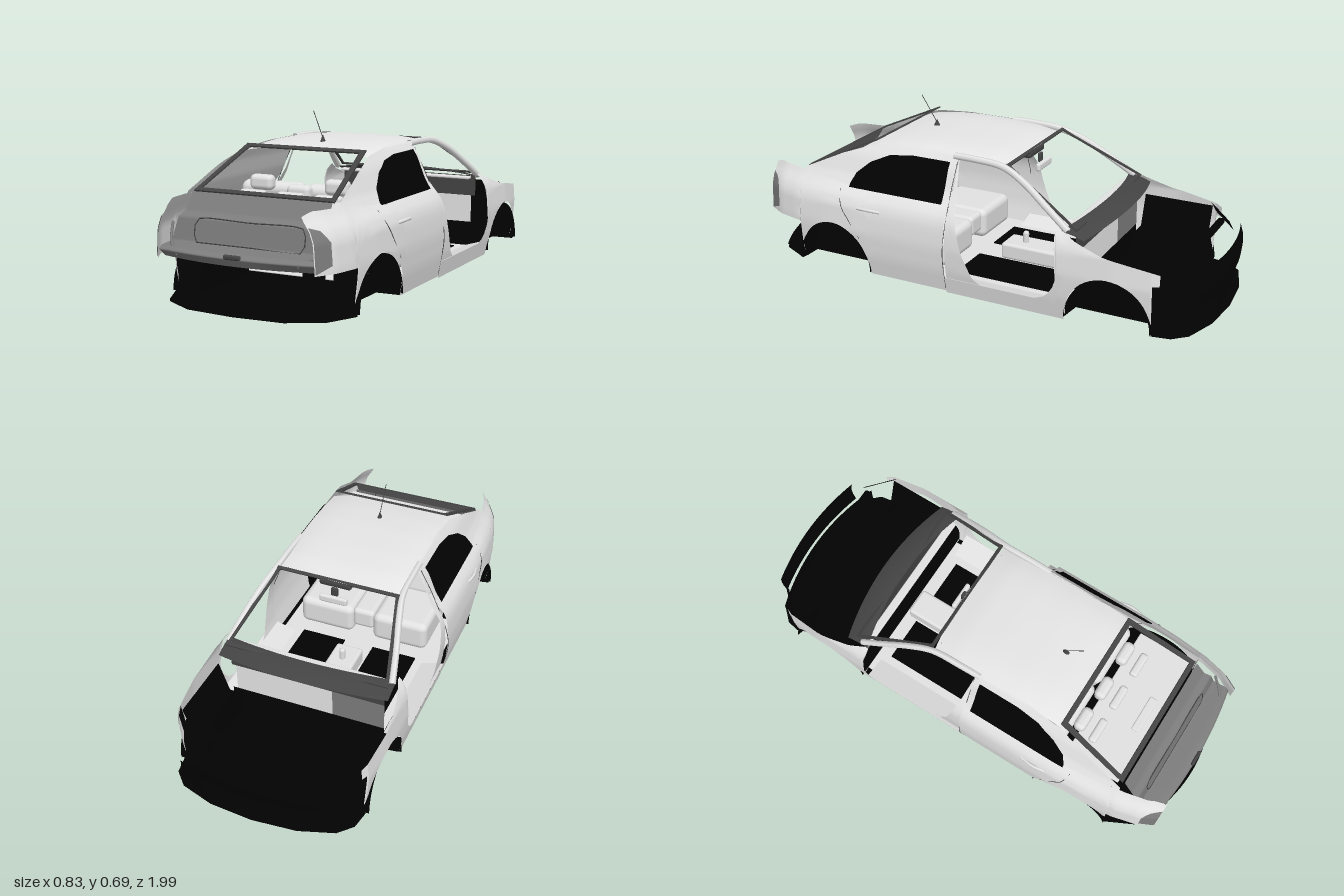
import * as THREE from 'three';
import { RoundedBoxGeometry } from 'three/addons/geometries/RoundedBoxGeometry.js';

const mat = (name, color) => new THREE.MeshStandardMaterial({ name, color, side: THREE.DoubleSide });

// Linear interpolation through [key, value] pairs sorted by key
function along(pts, t) {
  if (t <= pts[0][0]) return pts[0][1];
  for (let i = 1; i < pts.length; i++) {
    const [a, p] = pts[i - 1], [b, q] = pts[i];
    if (t <= b) return p + (q - p) * (t - a) / (b - a);
  }
  return pts[pts.length - 1][1];
}

// Grid surface from a rule (u, v in 0..1) -> [x, y, z]
function patch(nu, nv, rule) {
  const pos = [], idx = [];
  for (let i = 0; i <= nu; i++) for (let j = 0; j <= nv; j++) pos.push(...rule(i / nu, j / nv));
  for (let i = 0; i < nu; i++) for (let j = 0; j < nv; j++) {
    const a = i * (nv + 1) + j, b = a + nv + 1;
    idx.push(a, a + 1, b, b, a + 1, b + 1);
  }
  const g = new THREE.BufferGeometry();
  g.setAttribute('position', new THREE.Float32BufferAttribute(pos, 3));
  g.setIndex(idx);
  g.computeVertexNormals();
  return g;
}

// Half width of the body at a height, narrowed towards both ends
const SECTION = [[0, 0.385], [0.1, 0.405], [0.2, 0.413], [0.3, 0.405], [0.34, 0.388], [0.38, 0.355], [0.42, 0.332], [0.5, 0.3], [0.55, 0.268], [0.57, 0.25]];
const PLAN = [[-0.92, 0.82], [-0.8, 0.96], [-0.65, 1], [0.5, 1], [0.65, 0.985], [0.8, 0.95], [0.9, 0.89], [0.97, 0.79]];
const halfWidth = (z, y) => along(SECTION, y) * along(PLAN, z);

// Body side strip between a lower and an upper edge
function sidePanel(zs, low, high, offset = 0, rows = 12) {
  const n = zs.length - 1;
  return patch(n, rows, (u, v) => {
    const z = zs[Math.round(u * n)], y = low(z) + (high(z) - low(z)) * v;
    return [halfWidth(z, y) + offset, y, z];
  });
}
const range = (a, b, n) => Array.from({ length: n + 1 }, (_, i) => a + (b - a) * i / n);

const REAR_WHEEL = 0.605, FRONT_WHEEL = -0.63, ARCH = 0.172;
const archZs = (c) => range(Math.PI, 0, 24).map((t) => c + ARCH * Math.cos(t));
const archY = (z, c) => 0.035 + Math.sqrt(Math.max(0, ARCH * ARCH - (z - c) ** 2)) * 1.05;

export function createModel() {
  const car = new THREE.Group();
  const paint = mat('light body', 0xe6e6e6), cabin = mat('light cabin', 0xe2e2e2), grey = mat('grey panel', 0x7c7c7c);
  const trim = mat('dark trim', 0x444444), black = mat('black', 0x020202);

  const add = (name, geo, material, x = 0, y = 0, z = 0) => {
    const m = new THREE.Mesh(geo, material);
    m.name = name;
    m.position.set(x, y, z);
    car.add(m);
    return m;
  };
  const both = (name, geo, material) => {
    add(name + 'Left', geo, material);
    add(name + 'Right', geo, material).scale.x = -1;
  };
  const box = (name, material, size, at, r = 0.012) =>
    add(name, new RoundedBoxGeometry(...size, 3, Math.min(r, Math.min(...size) * 0.45)), material, ...at);
  const tube = (points, r) => new THREE.TubeGeometry(new THREE.CatmullRomCurve3(points.map((p) => new THREE.Vector3(...p))), 32, r, 6);

  // Rear door and quarter panel with the wheel arch cut out
  const rearZs = [...range(0.07, 0.432, 8), ...archZs(REAR_WHEEL), ...range(0.778, 0.97, 8)];
  const rearLow = (z) => (z > 0.777 ? 0.19 : z < REAR_WHEEL - ARCH ? 0.012 : archY(z, REAR_WHEEL));
  const belt = (z) => along([[0.5, 0.37], [0.75, 0.4], [0.93, 0.405], [0.97, 0.39]], z);
  both('rearSide', sidePanel(rearZs, rearLow, belt), paint);

  // Roof pillars above the belt, with the black rear door glass
  const roofEdge = (z) => along([[0.07, 0.557], [0.3, 0.557], [0.47, 0.54], [0.6, 0.495], [0.78, 0.412]], z);
  both('rearPillar', sidePanel(range(0.07, 0.78, 24), belt, roofEdge), paint);
  const glassTop = (z) => along([[0.1, 0.528], [0.28, 0.528], [0.38, 0.515], [0.46, 0.48], [0.52, 0.43], [0.54, 0.385]], z);
  both('rearDoorGlass', sidePanel(range(0.1, 0.54, 22), () => 0.373, glassTop, 0.005), black);

  // Door seams and handle
  const seam = (pts) => tube(pts.map(([z, y]) => [halfWidth(z, y), y, z]), 0.0015);
  both('rearDoorSeam', seam([[0.58, 0.36], [0.56, 0.3], [0.52, 0.24], [0.47, 0.17]]), trim);
  both('doorEdge', seam([[0.07, 0.53], [0.072, 0.4], [0.072, 0.2], [0.072, 0.025]]), trim);
  both('doorHandle', tube([[0.401, 0.3, 0.37], [0.408, 0.303, 0.425], [0.401, 0.3, 0.48]], 0.007), paint);

  // Tail lamp openings
  both('tailLampOpening', sidePanel(range(0.91, 0.969, 5), (z) => along([[0.91, 0.22], [0.968, 0.195]], z),
    (z) => along([[0.91, 0.3], [0.93, 0.34], [0.968, 0.355]], z), 0.003), grey);

  // Middle pillar, sill and front wing around the open door
  const postTop = (z) => along([[-0.08, 0.07], [-0.05, 0.09], [0, 0.2], [0.04, 0.36], [0.07, 0.54]], z);
  both('middlePillar', sidePanel(range(-0.08, 0.07, 12), () => 0.03, postTop, -0.012), paint);
  const sillTop = (z) => along([[-0.43, 0.2], [-0.41, 0.14], [-0.38, 0.095], [-0.33, 0.074]], z);
  both('sill', sidePanel(range(-0.45, 0.07, 26), () => 0.004, sillTop, 0.001), paint);
  both('innerSill', patch(8, 3, (u, v) => [0.4 - 0.1 * v, 0.072 - 0.03 * v, -0.42 + 0.49 * u]), cabin);
  const wingTop = (z) => along([[-0.83, 0.265], [-0.8, 0.275], [-0.6, 0.305], [-0.5, 0.335], [-0.42, 0.368]], z);
  const wingLow = (z) => (z < -0.803 ? 0.22 : z <= FRONT_WHEEL + ARCH ? archY(z, FRONT_WHEEL)
    : along([[-0.43, 0.02], [-0.422, 0.14], [-0.41, 0.34]], z));
  both('frontWing', sidePanel([-0.83, -0.805, ...archZs(FRONT_WHEEL), ...range(-0.45, -0.405, 6)], wingLow, wingTop), paint);

  // Windscreen pillars and roof rails
  both('windscreenPillar', tube([[0.35, 0.358, -0.445], [0.325, 0.43, -0.34], [0.295, 0.5, -0.23], [0.272, 0.54, -0.13], [0.268, 0.55, 0], [0.266, 0.55, 0.09]], 0.014), paint);

  // Roof skin
  const roofLine = (z) => along([[-0.15, 0.545], [-0.05, 0.563], [0.08, 0.571], [0.25, 0.572], [0.38, 0.564], [0.48, 0.55]], z);
  add('roof', patch(20, 16, (u, v) => {
    const s = 2 * v - 1, z0 = -0.15 + 0.63 * u;
    return [0.268 * s, roofLine(z0) - 0.017 * s ** 4, z0 + 0.02 * s * s * (1 - 2 * u)];
  }), paint);

  // Window surrounds: a leaning trapezoid with a hole
  const surround = (name, yLow, zLow, wLow, yHigh, zHigh, wHigh, edge) => {
    const h = Math.hypot(yHigh - yLow, zHigh - zLow);
    const outline = (S, e) => new S([[-wLow + e, e], [wLow - e, e], [wHigh - e, h - e], [-wHigh + e, h - e]].map((p) => new THREE.Vector2(...p)));
    const s = outline(THREE.Shape, 0);
    s.holes.push(outline(THREE.Path, edge));
    add(name, new THREE.ExtrudeGeometry(s, { depth: 0.006, bevelEnabled: false }), trim, 0, yLow, zLow)
      .rotation.x = Math.atan2(zHigh - zLow, yHigh - yLow);
  };
  surround('rearWindowSurround', 0.41, 0.775, 0.298, 0.556, 0.46, 0.262, 0.021);
  surround('windscreenSurround', 0.365, -0.48, 0.345, 0.55, -0.14, 0.265, 0.014);

  // Open boot: sunken inner panel stepping out to a curved rear ridge
  const boot = [[0, 0.775, 0.412, 0.295], [0.25, 0.82, 0.345, 0.3], [0.35, 0.85, 0.33, 0.31], [0.6, 0.868, 0.24, 0.33], [0.75, 0.945, 0.233, 0.335], [0.85, 0.972, 0.22, 0.335], [1, 0.955, 0.19, 0.335]];
  const bootAt = (k, t) => along(boot.map((p) => [p[0], p[k]]), t);
  add('bootPanel', patch(40, 16, (u, v) => {
    const s = 2 * v - 1;
    return [bootAt(3, u) * s, bootAt(2, u), bootAt(1, u) + 0.01 - 0.05 * s * s * Math.max(0, u * 2.5 - 1.5)];
  }), grey);
  const rim = [[-0.22, 0.242], [-0.23, 0.25], [-0.232, 0.285], [-0.23, 0.318], [-0.215, 0.328], [0, 0.328], [0.215, 0.328], [0.23, 0.318], [0.232, 0.285], [0.23, 0.25], [0.22, 0.242], [0, 0.242]];
  add('recessRim', tube([...rim, rim[0]].map(([x, y]) => [x, y, 0.926 - 0.2 * y]), 0.0025), trim);
  box('bootHandle', trim, [0.07, 0.018, 0.015], [0, 0.225, 0.978]);
  both('bootCorner', tube([[0.25, 0.21, 0.955], [0.3, 0.245, 0.92], [0.325, 0.31, 0.875]], 0.006), grey);

  // Black underbody, notched at the wheels
  const half = [[0, 0.985], [0.2, 0.97], [0.33, 0.9], [0.39, 0.78], [0.29, 0.775], [0.29, 0.435], [0.385, 0.43], [0.385, -0.45],
    [0.29, -0.46], [0.29, -0.8], [0.385, -0.805], [0.372, -0.88], [0.32, -0.935], [0.18, -0.98], [0, -0.995]];
  const outline = [...half, ...half.slice(1, -1).reverse().map(([x, z]) => [-x, z])].map(([x, z]) => new THREE.Vector2(x, -z));
  const under = add('underbody', new THREE.ExtrudeGeometry(new THREE.Shape(outline), { depth: 0.008, bevelEnabled: false }), black, 0, 0.014, 0);
  under.rotation.x = -Math.PI / 2;
  add('rearApron', patch(4, 20, (u, v) => {
    const s = 2 * v - 1;
    return [(0.38 - 0.06 * u) * s, 0.025 + 0.018 * u * (1 - s * s), 0.79 + 0.205 * u * (1 - 0.4 * s * s)];
  }), black);
  box('underPlateCentre', paint, [0.2, 0.004, 0.55], [0.02, 0.011, 0.03]);
  box('underPlateSide', paint, [0.2, 0.004, 0.4], [-0.22, 0.011, 0.12]);

  // Wheel housings
  for (const [end, c] of [['rear', REAR_WHEEL], ['front', FRONT_WHEEL]]) {
    const arch = new THREE.CylinderGeometry(ARCH + 0.004, ARCH + 0.004, 0.115, 28, 1, true, 0, Math.PI);
    arch.rotateZ(Math.PI / 2).scale(1, 1.05, 1).translate(0.343, 0.022, c);
    both(end + 'WheelHousing', arch, black);
    const wall = new THREE.CircleGeometry(ARCH + 0.004, 28, 0, Math.PI).rotateY(Math.PI / 2).scale(1, 1.05, 1).translate(0.287, 0.022, c);
    both(end + 'WheelHousingWall', wall, black);
  }
  both('rearHousingBack', patch(1, 4, (u, v) => {
    const y = 0.015 + 0.2 * v;
    return [0.292 + (halfWidth(0.775, y) - 0.295) * u, y, 0.775];
  }), black);

  // Front end: curved bumper bands, bay walls, cowl and lamp remains
  const band = (w, zMid, bow, y0, y1, lean) => patch(24, 4, (u, v) => {
    const s = 2 * u - 1;
    return [w * s, y0 + (y1 - y0) * v, zMid + bow * s * s + lean * (v - 0.5) ** 2];
  });
  add('bumperUpper', band(0.27, -0.993, 0.035, 0.11, 0.255, 0.06), black);
  add('bumperLower', band(0.34, -0.965, 0.06, 0.015, 0.115, 0), black);
  add('bayFloor', patch(1, 1, (u, v) => [0.58 * (u - 0.5), 0.05, -0.93 + 0.4 * v]), black);
  both('bayWall', patch(6, 2, (u, v) => [0.3 + 0.08 * v, 0.03 + 0.235 * v, -0.79 + 0.3 * u]), black);
  add('bulkheadLower', patch(1, 1, (u, v) => [0.66 * (u - 0.5), 0.03 + 0.11 * v, -0.47]), black);
  add('bulkheadMiddle', patch(1, 1, (u, v) => [0.1 + 0.42 * (u - 0.5), 0.14 + 0.12 * v, -0.47]), paint);
  add('bulkheadSide', patch(1, 1, (u, v) => [-0.33 + 0.22 * u, 0.14 + 0.12 * v, -0.47]), grey);
  add('bulkheadUpper', patch(1, 1, (u, v) => [0.66 * (u - 0.5), 0.26 + 0.09 * v, -0.47]), trim);
  add('cowl', patch(20, 5, (u, v) => {
    const s = 2 * u - 1;
    return [0.36 * s, 0.375 - 0.02 * s * s - 0.022 * v * v, -0.465 - 0.1 * v + 0.05 * s * s];
  }), trim);
  box('crossMember', black, [0.56, 0.025, 0.03], [0, 0.25, -0.86]);
  both('headLampBracket', patch(6, 3, (u, v) => [0.392 - 0.1 * u, 0.275 - 0.03 * u - 0.035 * v, -0.78 - 0.11 * u - 0.02 * v]), black);

  // Cabin floor, mats and console
  box('cabinFloor', cabin, [0.72, 0.006, 0.86], [0, 0.035, -0.02]);
  for (const s of [-1, 1]) box('footMat', black, [0.2, 0.006, 0.48], [0.165 * s, 0.042, -0.15]);
  box('console', cabin, [0.12, 0.07, 0.42], [0, 0.075, -0.22]);
  box('gearLever', cabin, [0.025, 0.06, 0.025], [0, 0.13, -0.1]);
  box('dashboardLip', cabin, [0.64, 0.012, 0.035], [0, 0.345, -0.43], 0.005);

  // Rear bench, backrests and headrests
  for (const s of [-1, 1]) {
    box('rearSeatCushion', cabin, [0.25, 0.13, 0.27], [0.17 * s, 0.125, 0.26], 0.03);
    box('rearSeatBack', cabin, [0.28, 0.26, 0.07], [0.145 * s, 0.29, 0.43], 0.03).rotation.x = 0.25;
  }
  box('rearSeatMiddle', cabin, [0.1, 0.09, 0.25], [0, 0.145, 0.26], 0.02);
  for (const [x, y] of [[-0.16, 0.42], [0.005, 0.39], [0.17, 0.42]]) {
    box('headrest', cabin, [0.1, 0.06, 0.05], [x, y, 0.515], 0.02);
    box('headrestBase', cabin, [0.11, 0.03, 0.035], [x, 0.385, 0.585], 0.012);
  }
  box('parcelShelf', cabin, [0.6, 0.01, 0.24], [0, 0.375, 0.64]);
  box('shelfTrim', cabin, [0.16, 0.012, 0.035], [0, 0.384, 0.71]);

  // Overhanging panel and tunnel seen through the open rear
  add('bootFrontPanel', patch(1, 1, (u, v) => [0.58 * (u - 0.5), 0.1 + 0.1 * v, 0.5 + 0.09 * v]), cabin);
  box('tunnelEnd', black, [0.1, 0.07, 0.02], [0.01, 0.065, 0.42]);

  // Mirror, roof console and aerial
  box('mirror', cabin, [0.12, 0.033, 0.02], [0.005, 0.477, -0.18], 0.01);
  box('mirrorStalk', trim, [0.03, 0.04, 0.015], [0.005, 0.505, -0.165]);
  box('roofConsole', trim, [0.14, 0.03, 0.09], [0.01, 0.53, -0.11]);
  for (const s of [-1, 1]) box('sunVisor', trim, [0.15, 0.008, 0.07], [0.155 * s, 0.535, -0.09]);
  const base = add('aerialBase', new THREE.ConeGeometry(0.01, 0.03, 12), trim, 0, 0.58, 0.325);
  base.scale.z = 1.6;
  add('aerial', tube([[0, 0.58, 0.325], [0, 0.635, 0.36], [0, 0.692, 0.397]], 0.0015), trim);

  return car;
}
